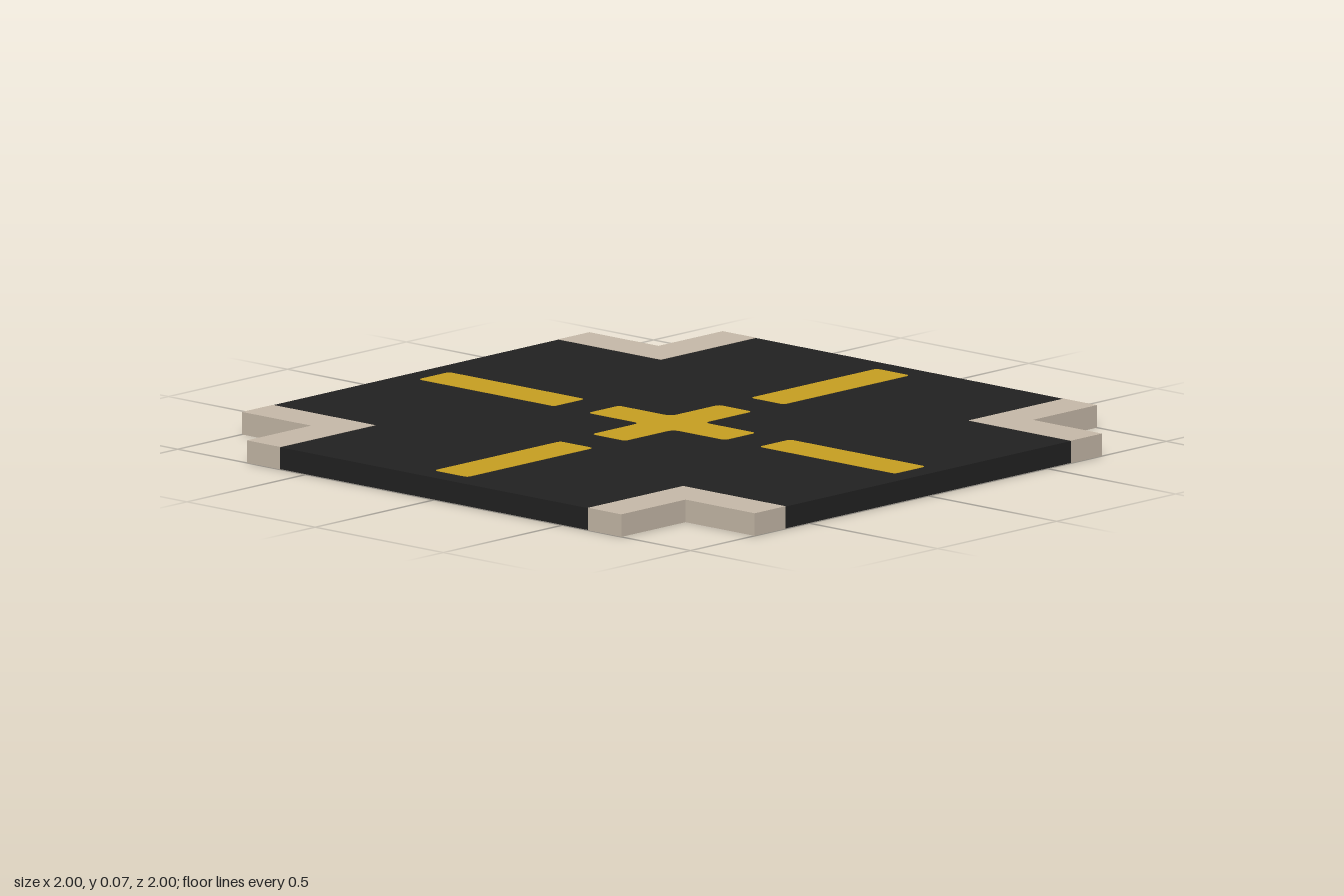
import * as THREE from 'three';

const HEIGHT = 0.066;
const LIFT = 0.001; // paint stands this far proud of the asphalt
const ROAD = 0.6; // half width of each road
const KERB = 0.73; // outer edge of the kerb
const PAINT = 0.065; // half width of a painted line

// Closed outline whose corners are rounded; each point is [x, y, radius]
function outline(points) {
  const shape = new THREE.Shape();
  const n = points.length;
  points.forEach(([x, y, r = 0], i) => {
    const toward = ([px, py]) => {
      const d = Math.hypot(px - x, py - y);
      return [x + ((px - x) * r) / d, y + ((py - y) * r) / d];
    };
    const start = toward(points[(i + n - 1) % n]);
    const end = toward(points[(i + 1) % n]);
    if (i === 0) shape.moveTo(...start);
    else shape.lineTo(...start);
    if (r > 0) shape.quadraticCurveTo(x, y, ...end);
  });
  shape.closePath();
  return shape;
}

// Plus-shaped outline: arms reach `reach`, half as wide as `half`
function plus(reach, half, outer = 0, inner = 0) {
  const points = [];
  for (let i = 0; i < 4; i++) {
    const c = Math.round(Math.cos((i * Math.PI) / 2));
    const s = Math.round(Math.sin((i * Math.PI) / 2));
    for (const [x, y, r] of [[reach, -half, outer], [reach, half, outer], [half, half, inner]]) {
      points.push([x * c - y * s, x * s + y * c, r]);
    }
  }
  return outline(points);
}

// Flat slab lying on the ground plane between two heights
function slab(shape, bottom, top) {
  const geometry = new THREE.ExtrudeGeometry(shape, {
    depth: top - bottom, bevelEnabled: false, curveSegments: 5,
  });
  return geometry.rotateX(-Math.PI / 2).translate(0, bottom, 0);
}

export function createModel() {
  const asphalt = new THREE.MeshStandardMaterial({ color: 0x222222 });
  asphalt.name = 'asphalt';
  const stone = new THREE.MeshStandardMaterial({ color: 0xc8bbaa });
  stone.name = 'kerbStone';
  const yellow = new THREE.MeshStandardMaterial({ color: 0xc9a022 });
  yellow.name = 'yellowPaint';

  const model = new THREE.Group();
  model.name = 'crossroads';
  const add = (name, geometry, material, turn = 0) => {
    const mesh = new THREE.Mesh(geometry, material);
    mesh.name = name;
    mesh.rotation.y = (turn * Math.PI) / 2;
    model.add(mesh);
  };

  // Road surface
  add('road', slab(plus(1, ROAD), LIFT, HEIGHT - LIFT), asphalt);

  // L-shaped kerbs in the four corners
  const kerb = slab(outline([
    [ROAD, ROAD], [1, ROAD], [1, KERB], [KERB, KERB], [KERB, 1], [ROAD, 1],
  ]), 0, HEIGHT);
  for (let i = 0; i < 4; i++) add('kerb', kerb, stone, i);

  // Painted centre cross and lane dashes, on the upper and lower faces
  const cross = plus(0.267, PAINT, 0.015, 0.025);
  const dash = outline([
    [0.4, -PAINT, 0.015], [0.93, -PAINT, 0.015], [0.93, PAINT, 0.015], [0.4, PAINT, 0.015],
  ]);
  const faces = [['upper', HEIGHT - 2 * LIFT, HEIGHT], ['lower', 0, 2 * LIFT]];
  for (const [side, bottom, top] of faces) {
    add(`${side}CentreCross`, slab(cross, bottom, top), yellow);
    const dashPlate = slab(dash, bottom, top);
    for (let i = 0; i < 4; i++) add(`${side}LaneDash`, dashPlate, yellow, i);
  }
  return model;
}
